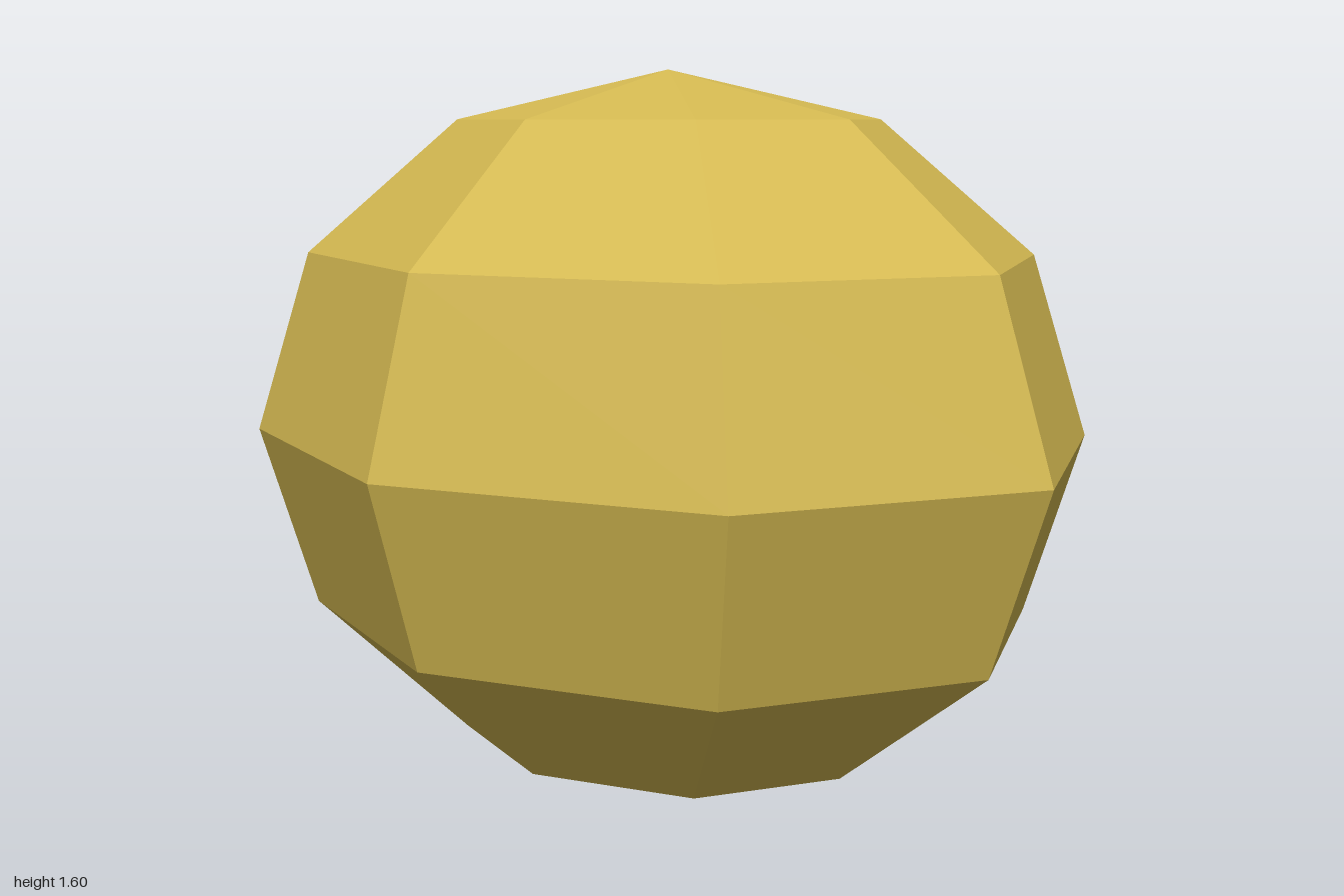
import * as THREE from 'three';

export function createModel() {
  const group = new THREE.Group();
  group.name = 'boulder';

  const ochre = new THREE.MeshStandardMaterial({ color: 0xd4b951, flatShading: true });
  ochre.name = 'ochre';

  // Faceted ellipsoid: 8 sides around, 6 bands from pole to pole
  const geometry = new THREE.SphereGeometry(1, 8, 6);
  geometry.scale(1, 0.8, 0.85);
  geometry.translate(0, 0.8, 0);

  const body = new THREE.Mesh(geometry, ochre);
  body.name = 'body';
  group.add(body);
  return group;
}
